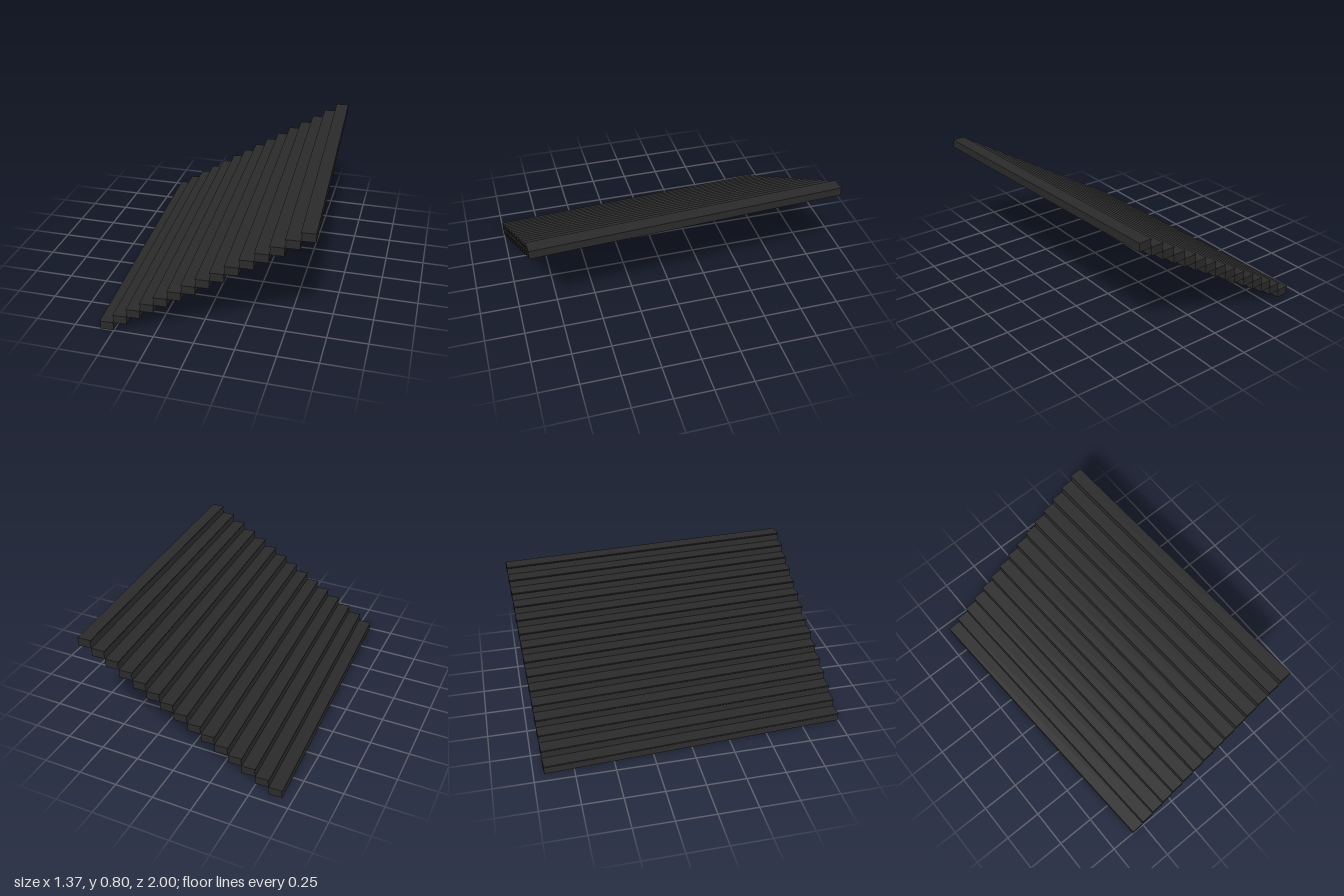
import * as THREE from 'three';

const STEPS = 15;
const RUN = 0.0851;      // depth of one tread
const RISE = 0.8 / STEPS; // height of one step
const WIDTH = 1.9366;
const YAW = 0.0517;      // the flight is turned slightly about the vertical

// Side profile of a step: flat tread, small nosing and undercut riser
function stepGeometry() {
  const profile = new THREE.Shape([
    [0, 0], [RUN, 0], [RUN, RISE], [0, RISE],
    [0, RISE - 0.006], [0.006, RISE - 0.013],
  ].map(([x, y]) => new THREE.Vector2(x, y)));
  const geometry = new THREE.ExtrudeGeometry(profile, { depth: WIDTH, bevelEnabled: false });
  return geometry.translate(0, 0, -WIDTH / 2);
}

export function createModel() {
  const staircase = new THREE.Group();
  staircase.name = 'staircase';
  const material = new THREE.MeshStandardMaterial({ color: 0x2a2a2a });
  const geometry = stepGeometry();

  // Steps climb toward +x, each meeting the next along one edge
  for (let i = 0; i < STEPS; i++) {
    const step = new THREE.Mesh(geometry, material);
    step.name = `step${i + 1}`;
    step.position.set((i - STEPS / 2) * RUN, i * RISE, 0);
    staircase.add(step);
  }
  staircase.rotation.y = YAW;

  const model = new THREE.Group();
  model.name = 'stairs';
  model.add(staircase);
  return model;
}
